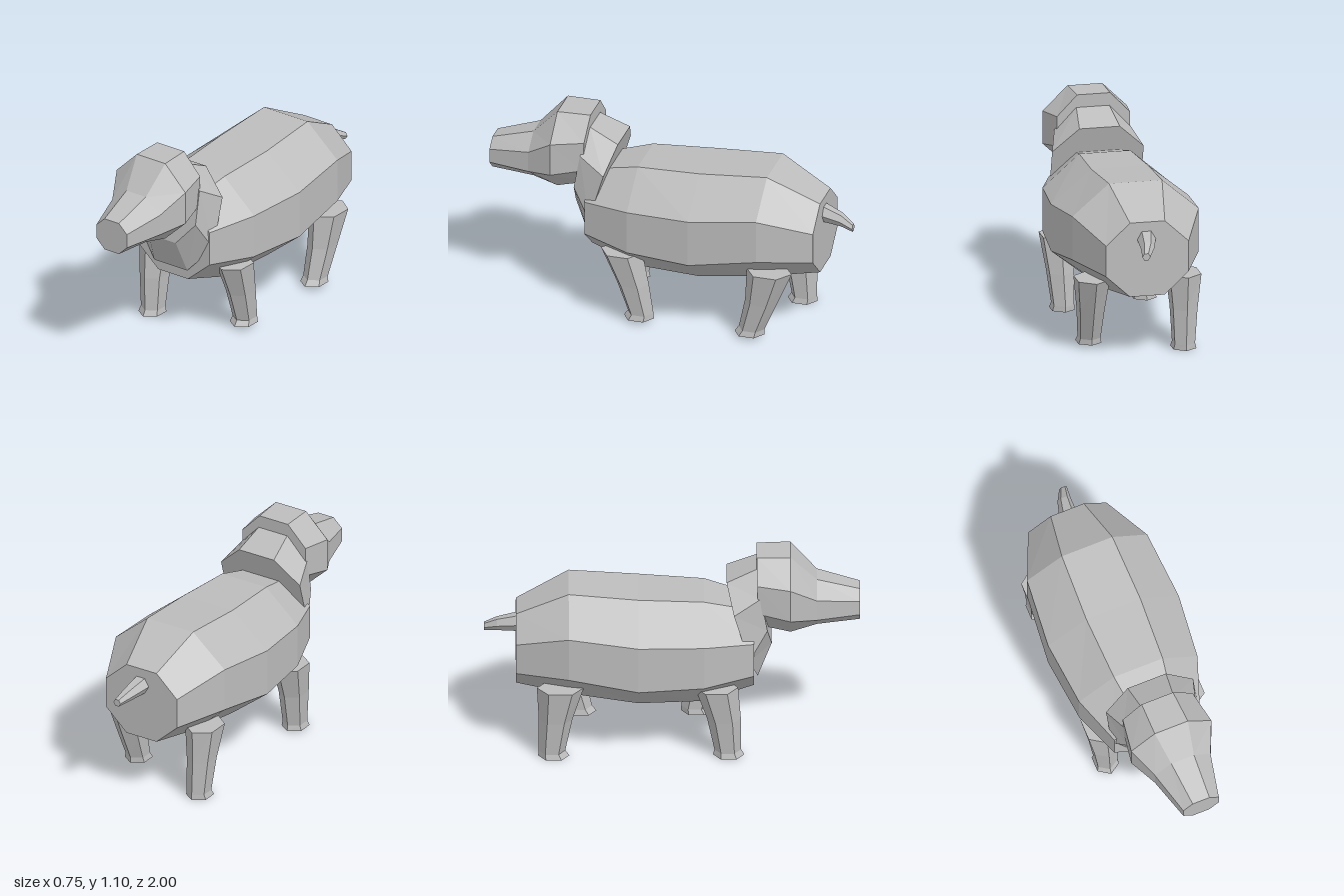
import * as THREE from 'three';

// Skin a list of equal-length rings (counter-clockwise seen from the end) with flat caps
function loft(rings) {
  const pos = [];
  const tri = (a, b, c) => pos.push(...a, ...b, ...c);
  const n = rings[0].length;
  for (let i = 0; i < rings.length - 1; i++) {
    for (let j = 0; j < n; j++) {
      const k = (j + 1) % n, lo = rings[i], hi = rings[i + 1];
      tri(lo[j], lo[k], hi[k]);
      tri(lo[j], hi[k], hi[j]);
    }
  }
  const first = rings[0], last = rings[rings.length - 1];
  for (let j = 1; j < n - 1; j++) {
    tri(first[0], first[j + 1], first[j]);
    tri(last[0], last[j], last[j + 1]);
  }
  const g = new THREE.BufferGeometry();
  g.setAttribute('position', new THREE.Float32BufferAttribute(pos, 3));
  g.computeVertexNormals();
  return g;
}

// Eight-sided section: z at top and bottom, centre x, half width, half flat width, four heights
function octagon([zTop, zBot, cx, w, t, top, up, low, bot]) {
  const p = (x, y) => [cx + x, y, zBot + (zTop - zBot) * (y - bot) / (top - bot)];
  return [p(w, low), p(w, up), p(t, top), p(-t, top), p(-w, up), p(-w, low), p(-t, bot), p(t, bot)];
}

// Horizontal six-sided section with flat sides facing x
function hexagon([y, x, z, halfX, rz]) {
  return [[1, 0.5], [1, -0.5], [0, -1], [-1, -0.5], [-1, 0.5], [0, 1]]
    .map(([a, b]) => [x + a * halfX, y, z + b * rz]);
}

export function createModel() {
  const group = new THREE.Group();
  const grey = new THREE.MeshStandardMaterial({ color: 0xbcbcbc, flatShading: true });
  grey.name = 'light grey';
  const add = (name, rings) => {
    const mesh = new THREE.Mesh(loft(rings), grey);
    mesh.name = name;
    group.add(mesh);
  };

  add('body', [
    [-0.83, -0.83, 0, 0.225, 0.095, 0.77, 0.65, 0.48, 0.36],
    [-0.55, -0.55, 0, 0.345, 0.145, 0.91, 0.74, 0.50, 0.32],
    [-0.18, -0.18, 0, 0.375, 0.155, 0.88, 0.70, 0.44, 0.265],
    [0.17, 0.17, 0, 0.34, 0.14, 0.86, 0.685, 0.445, 0.27],
    [0.435, 0.435, 0, 0.245, 0.10, 0.79, 0.66, 0.47, 0.345],
  ].map(octagon));

  add('neck', [
    [0.29, 0.455, 0, 0.25, 0.11, 0.96, 0.83, 0.56, 0.405],
    [0.45, 0.53, 0, 0.205, 0.09, 1.03, 0.91, 0.72, 0.59],
  ].map(octagon));

  add('head', [
    [0.45, 0.46, -0.005, 0.20, 0.09, 1.10, 0.985, 0.82, 0.70],
    [0.63, 0.63, 0.002, 0.23, 0.095, 1.10, 0.967, 0.785, 0.658],
    [0.77, 0.77, 0.01, 0.16, 0.065, 0.95, 0.87, 0.755, 0.685],
    [1.0, 1.0, 0.022, 0.102, 0.048, 0.88, 0.83, 0.752, 0.70],
  ].map(octagon));

  // Tail: tapering six-sided sections, bending sideways
  add('tail', [[-1, 0.045, 0.628, 0.022], [-0.93, 0.022, 0.655, 0.037], [-0.80, 0, 0.68, 0.055]]
    .map(([z, x, y, r]) => Array.from({ length: 6 }, (_, i) => {
      const a = i * Math.PI / 3;
      return [x + r * Math.cos(a), y + r * Math.sin(a), z];
    })));

  // Legs: side, foot height, then z of foot, ankle, knee and hip, and hip depth
  const legs = [
    ['leftFrontLeg', 1, 0.02, 0.132, 0.122, 0.165, 0.225, 0.115],
    ['rightFrontLeg', -1, 0.003, 0.30, 0.295, 0.275, 0.235, 0.115],
    ['leftBackLeg', 1, 0.02, -0.483, -0.495, -0.55, -0.595, 0.125],
    ['rightBackLeg', -1, 0, -0.63, -0.64, -0.62, -0.595, 0.125],
  ];
  for (const [name, s, y, foot, ankle, knee, hip, depth] of legs) {
    add(name, [
      [y, s * 0.242, foot, 0.062, 0.083],
      [y + 0.03, s * 0.241, ankle, 0.055, 0.071],
      [0.22, s * 0.246, knee, 0.066, 0.09],
      [0.407, s * 0.25, hip, 0.085, depth],
    ].map(hexagon));
  }
  return group;
}
